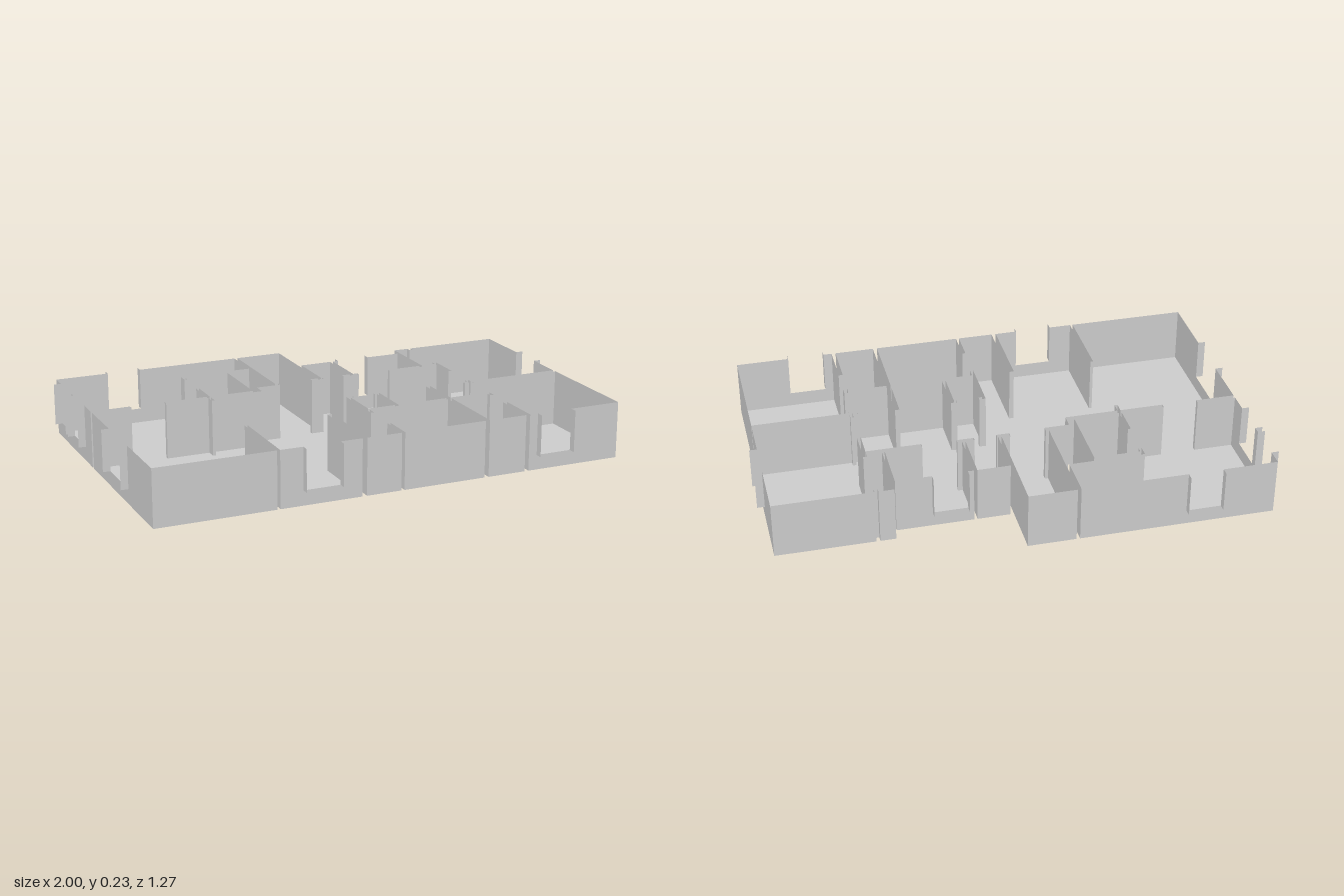
import * as THREE from 'three';

const HEIGHT = 0.23, SILL = 0.06, REVEAL = 0.03;

// Building footprint as rectangles: x0, x1, z0, z1
const FOOTPRINT = [
  [-0.97, 0.022, -0.607, 0.607],
  [0.022, 0.495, -0.39, 0.607],
  [0.495, 0.97, -0.443, 0.607],
];

// Hollow partitions, cut out of the floor: x0, x1, z0, z1
const BACK_PARTITIONS = [
  [-0.185, -0.171, -0.607, -0.163],  // between the two back rooms
  [-0.185, -0.158, -0.184, -0.163],
  [-0.489, -0.171, -0.435, -0.412],  // closet
  [-0.489, -0.477, -0.435, -0.39],
  [-0.489, -0.477, -0.249, -0.067],
  [-0.291, -0.171, -0.412, -0.163],  // shaft
  [-0.291, -0.259, -0.163, -0.108],
  [-0.97, -0.81, -0.126, -0.108],    // back left room
  [-0.666, -0.259, -0.126, -0.108],
  [0.022, 0.036, -0.607, -0.168],    // small back rooms
  [-0.013, 0.04, -0.184, -0.168],
  [0.168, 0.181, -0.39, -0.168],
  [0.131, 0.2, -0.184, -0.168],
  [0.489, 0.5, -0.443, -0.168],
  [0.34, 0.577, -0.18, -0.163],
  [0.562, 0.577, -0.443, -0.42],
  [0.562, 0.577, -0.2, -0.056],
];
const FRONT_PARTITIONS = [
  [0.543, 0.97, 0.11, 0.126],        // right rooms
  [0.562, 0.577, 0.09, 0.137],
  [0.553, 0.57, 0.425, 0.607],
  [0.553, 0.57, 0.281, 0.318],
  [0.018, 0.57, 0.281, 0.297],       // middle rooms
  [0.375, 0.393, 0.105, 0.607],
  [0.147, 0.162, 0.105, 0.281],
  [0.138, 0.162, 0.105, 0.12],
  [0.018, 0.031, 0.105, 0.334],
  [0.018, 0.045, 0.105, 0.12],
  [0.018, 0.031, 0.479, 0.607],
  [-0.145, -0.126, 0.286, 0.607],    // front left rooms
  [-0.489, -0.477, 0.286, 0.607],
];
const PARTITIONS = [...BACK_PARTITIONS, ...FRONT_PARTITIONS];

// Windows: axis the wall runs along, wall position, span, outward direction
const WINDOWS = [
  { axis: 'x', at: 0.607, from: -0.385, to: -0.235, out: 1 },
  { axis: 'x', at: 0.607, from: 0.605, to: 0.755, out: 1 },
  { axis: 'x', at: -0.607, from: -0.75, to: -0.61, out: -1 },
  { axis: 'x', at: -0.39, from: 0.205, to: 0.345, out: -1 },
  { axis: 'z', at: 0.97, from: -0.2, to: -0.05, out: 1 },
  { axis: 'z', at: -0.97, from: -0.54, to: -0.39, out: -1 },
  { axis: 'z', at: -0.97, from: -0.36, to: -0.21, out: -1 },
  { axis: 'z', at: -0.97, from: 0.11, to: 0.33, out: -1 },
];

const inside = (rects, x, z) =>
  rects.some(([x0, x1, z0, z1]) => x > x0 && x < x1 && z > z0 && z < z1);
const isFloor = (x, z) => inside(FOOTPRINT, x, z) && !inside(PARTITIONS, x, z);
const sorted = (values) => [...new Set(values)].sort((a, b) => a - b);

// Collects quads and turns them into one mesh
function quadMesh(name, quads, material) {
  const positions = [];
  for (const [a, b, c, d] of quads) positions.push(...a, ...b, ...c, ...a, ...c, ...d);
  const geometry = new THREE.BufferGeometry();
  geometry.setAttribute('position', new THREE.Float32BufferAttribute(positions, 3));
  geometry.computeVertexNormals();
  const mesh = new THREE.Mesh(geometry, material);
  mesh.name = name;
  return mesh;
}

// Upright quad above the plan line from (x0, z0) to (x1, z1)
const upright = (x0, z0, x1, z1, y0, y1) =>
  [[x0, y0, z0], [x1, y0, z1], [x1, y1, z1], [x0, y1, z0]];

function wallTop(axis, at, mid) {
  const open = WINDOWS.some((w) =>
    w.axis === axis && Math.abs(w.at - at) < 0.002 && mid > w.from && mid < w.to);
  return open ? SILL : HEIGHT;
}

export function createModel() {
  const material = new THREE.MeshStandardMaterial({
    color: 0xcccccc, side: THREE.DoubleSide, flatShading: true,
  });
  const floor = [], outer = [], inner = [], jambs = [];

  // Plan grid through every wall and window edge
  const rects = [...FOOTPRINT, ...PARTITIONS];
  const spans = (axis) => WINDOWS.filter((w) => w.axis === axis).flatMap((w) => [w.from, w.to]);
  const xs = sorted([...rects.flatMap((r) => [r[0], r[1]]), ...spans('x')]);
  const zs = sorted([...rects.flatMap((r) => [r[2], r[3]]), ...spans('z')]);
  const centres = (v) => [v[0] - 1, ...v.slice(1).map((b, i) => (v[i] + b) / 2), v.at(-1) + 1];
  const cx = centres(xs), cz = centres(zs);

  // Floor strips, merged along x
  for (let j = 1; j < zs.length; j++) {
    let start = null;
    for (let i = 1; i <= xs.length; i++) {
      const solid = isFloor(cx[i], cz[j]);
      if (solid && start === null) start = xs[i - 1];
      if (!solid && start !== null) {
        const end = xs[i - 1], z0 = zs[j - 1], z1 = zs[j];
        floor.push([[start, 0, z0], [start, 0, z1], [end, 0, z1], [end, 0, z0]]);
        start = null;
      }
    }
  }

  // Wall skins wherever floor meets a gap or the outside
  const side = (x, z, px, pz) =>
    inside(FOOTPRINT, x, z) && inside(FOOTPRINT, px, pz) ? inner : outer;
  for (let i = 0; i < xs.length; i++) {
    for (let j = 1; j < zs.length; j++) {
      const z = cz[j];
      if (isFloor(cx[i], z) !== isFloor(cx[i + 1], z)) {
        side(cx[i], z, cx[i + 1], z).push(
          upright(xs[i], zs[j - 1], xs[i], zs[j], 0, wallTop('z', xs[i], z)));
      }
    }
  }
  for (let j = 0; j < zs.length; j++) {
    for (let i = 1; i < xs.length; i++) {
      const x = cx[i];
      if (isFloor(x, cz[j]) !== isFloor(x, cz[j + 1])) {
        side(x, cz[j], x, cz[j + 1]).push(
          upright(xs[i - 1], zs[j], xs[i], zs[j], 0, wallTop('x', zs[j], x)));
      }
    }
  }

  // Window jambs standing out from the outer walls
  for (const { axis, at, from, to, out } of WINDOWS) {
    const end = at + out * REVEAL;
    for (const p of [from, to]) {
      jambs.push(axis === 'x'
        ? upright(p, at, p, end, SILL, HEIGHT)
        : upright(at, p, end, p, SILL, HEIGHT));
    }
  }

  const group = new THREE.Group();
  group.name = 'floorPlan';
  group.add(
    quadMesh('floor', floor, material),
    quadMesh('outerWalls', outer, material),
    quadMesh('partitionWalls', inner, material),
    quadMesh('windowJambs', jambs, material),
  );
  return group;
}
